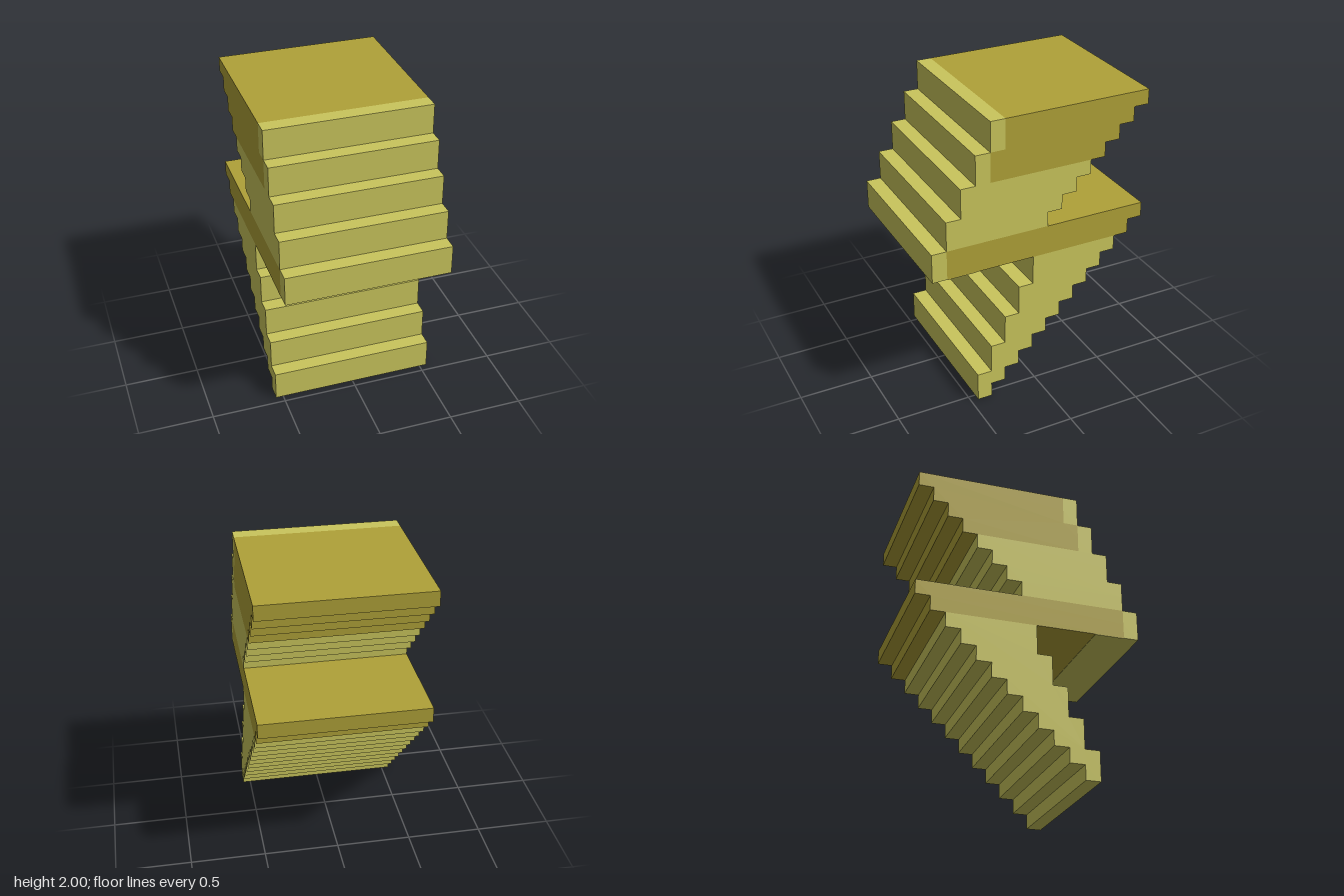
import * as THREE from 'three';

const WIDTH = 1.1;
const STEP = 0.1;

// Front steps are two layers tall, back steps are one layer tall.
const frontZ = (i) => {
  const s = Math.floor(i / 2);
  return s < 5 ? 0.45 - STEP * s : 0.75 - STEP * (s - 5);
};
const backZ = (i) => (i < 12 ? 0.35 - STEP * i : -0.05 - STEP * (i - 12));
const seamZ = (i) => frontZ(i) - STEP;

// Extrudes the stepped side profile of layers first..last across the width.
function steppedBlock(name, material, first, last, front, back) {
  const points = [];
  for (let i = first; i <= last; i++) {
    points.push(new THREE.Vector2(front(i), i * STEP), new THREE.Vector2(front(i), (i + 1) * STEP));
  }
  for (let i = last; i >= first; i--) {
    points.push(new THREE.Vector2(back(i), (i + 1) * STEP), new THREE.Vector2(back(i), i * STEP));
  }
  const geometry = new THREE.ExtrudeGeometry(new THREE.Shape(points), { depth: WIDTH, bevelEnabled: false });
  geometry.translate(0, 0, -WIDTH / 2).rotateY(-Math.PI / 2);
  const mesh = new THREE.Mesh(geometry, material);
  mesh.name = name;
  return mesh;
}

export function createModel() {
  const light = new THREE.MeshStandardMaterial({ color: 0xc9c55c });
  light.name = 'pale yellow';
  const dark = new THREE.MeshStandardMaterial({ color: 0xafa138 });
  dark.name = 'dark ochre';

  const bolt = new THREE.Group();
  bolt.name = 'steppedBolt';
  bolt.add(
    // lower zigzag
    steppedBlock('lowerSteps', light, 0, 9, frontZ, backZ),
    // middle slab with its pale front edge
    steppedBlock('middleSlab', dark, 10, 11, seamZ, backZ),
    steppedBlock('middleFrontEdge', light, 10, 11, frontZ, seamZ),
    // upper zigzag
    steppedBlock('upperSteps', light, 12, 15, frontZ, backZ),
    // top cap with its pale front edge
    steppedBlock('topCap', dark, 16, 19, seamZ, backZ),
    steppedBlock('topFrontEdge', light, 16, 19, frontZ, seamZ),
  );

  // pale strip under the overhang
  const strip = new THREE.Mesh(new THREE.BoxGeometry(WIDTH, 0.004, 0.2), light);
  strip.name = 'overhangUnderside';
  strip.position.set(0, 0.999, 0.55);
  bolt.add(strip);

  return bolt;
}
